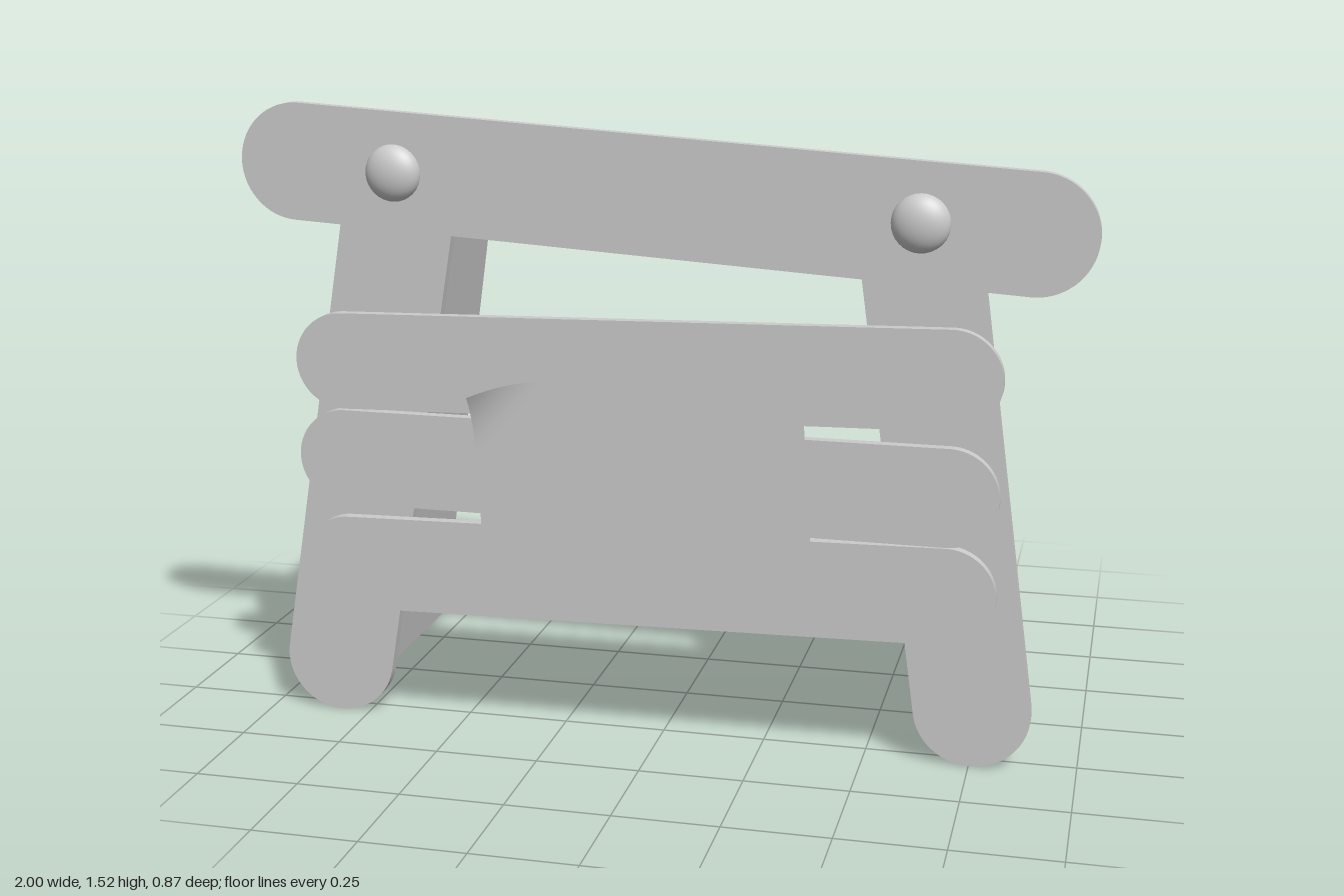
import * as THREE from 'three';

const grey = new THREE.MeshStandardMaterial({ color: 0xcccccc });
const sheetGrey = new THREE.MeshStandardMaterial({ color: 0xcccccc, side: THREE.DoubleSide });

// Flat stick from a to b: round at a, round or square at b, from z0 to z1
function stick(name, a, b, r, z0, z1, squareEnd = false) {
  const dx = b[0] - a[0], dy = b[1] - a[1], len = Math.hypot(dx, dy);
  const s = new THREE.Shape();
  s.moveTo(0, -r);
  s.lineTo(len, -r);
  if (squareEnd) s.lineTo(len, r);
  else s.absarc(len, 0, r, -Math.PI / 2, Math.PI / 2, false);
  s.lineTo(0, r);
  s.absarc(0, 0, r, Math.PI / 2, Math.PI * 1.5, false);
  const geo = new THREE.ExtrudeGeometry(s, { depth: z1 - z0, bevelEnabled: false, curveSegments: 24 });
  const mesh = new THREE.Mesh(geo, grey);
  mesh.name = name;
  mesh.position.set(a[0], a[1], z0);
  mesh.rotation.z = Math.atan2(dy, dx);
  return mesh;
}

// Flat sheet standing on the line a-b (in x, y) and running from z0 to z1
function sheet(name, a, b, z0, z1) {
  const geo = new THREE.PlaneGeometry(1, 1);
  const p = geo.attributes.position;
  for (let i = 0; i < p.count; i++) {
    const t = p.getX(i) + 0.5, w = p.getY(i) + 0.5;
    p.setXYZ(i, a[0] + (b[0] - a[0]) * t, a[1] + (b[1] - a[1]) * t, z1 + (z0 - z1) * w);
  }
  geo.computeVertexNormals();
  const mesh = new THREE.Mesh(geo, sheetGrey);
  mesh.name = name;
  return mesh;
}

// Paper note with its upper left corner curling forward
function note() {
  const geo = new THREE.PlaneGeometry(1, 1, 28, 20);
  const p = geo.attributes.position;
  for (let i = 0; i < p.count; i++) {
    const u = p.getX(i) + 0.5, v = p.getY(i) + 0.5;
    const x = THREE.MathUtils.lerp(-0.405 + 0.79 * u, -0.43 + 0.785 * u, v);
    const y = THREE.MathUtils.lerp(0.42 + 0.06 * u, 0.885 + 0.055 * u, v);
    const curl = Math.max(0, 1 - (u * 0.79 + (1 - v) * 0.46) / 0.17) ** 2;
    p.setXYZ(i, x + 0.005 * curl, y - 0.025 * curl, 0.388 + 0.047 * curl);
  }
  geo.computeVertexNormals();
  const mesh = new THREE.Mesh(geo, sheetGrey);
  mesh.name = 'paperNote';
  return mesh;
}

export function createModel() {
  const model = new THREE.Group();

  // Leaning posts with square tops
  model.add(
    stick('rightPost', [-0.823, 0.138], [-0.61, 1.39], 0.138, 0.27, 0.298, true),
    stick('leftPost', [0.753, 0.138], [0.59, 1.32], 0.138, 0.27, 0.298, true)
  );

  // Sloping top board
  model.add(stick('topBoard', [-0.862, 1.386], [0.862, 1.274], 0.138, 0.315, 0.343));

  // Three cross slats
  const slats = [[0.918, 0.946], [0.682, 0.674], [0.416, 0.44]];
  slats.forEach(([y0, y1], i) => {
    model.add(stick('slat' + (i + 1), [-0.755, y0], [0.69, y1], 0.116, 0.348, 0.374));
  });

  // Domed nails
  for (const [x, y] of [[-0.622, 1.366], [0.609, 1.291]]) {
    const dome = new THREE.SphereGeometry(0.067, 32, 12, 0, Math.PI * 2, 0, Math.PI / 2);
    dome.rotateX(Math.PI / 2);
    dome.scale(1, 1, 0.57);
    const nail = new THREE.Mesh(dome, grey);
    nail.name = 'nail';
    nail.position.set(x, y, 0.342);
    model.add(nail);
  }

  model.add(note());

  // Side walls: an outer and an inner sheet each
  const walls = new THREE.Group();
  walls.name = 'sideWalls';
  const sides = [['right', [-0.69, 1.27], [-0.87, 0.01], 1], ['left', [0.67, 1.25], [0.808, 0.005], -1]];
  for (const [side, top, foot, inward] of sides) {
    const d = 0.06 * inward;
    walls.add(
      sheet(side + 'OuterWall', top, foot, -0.43, 0.27),
      sheet(side + 'InnerWall', [top[0] + d, top[1]], [foot[0] + d, foot[1]], -0.43, 0.27)
    );
  }
  model.add(walls);

  // Hollow, slightly tilted roof, open at front and back
  const roof = new THREE.Group();
  roof.name = 'roof';
  const ring = [[-0.69, 1.325], [0.67, 1.305], [0.67, 1.245], [-0.69, 1.265]];
  ['roofTop', 'roofLeftEnd', 'roofUnderside', 'roofRightEnd'].forEach((name, i) => {
    roof.add(sheet(name, ring[i], ring[(i + 1) % 4], -0.43, 0.26));
  });
  model.add(roof);

  return model;
}
